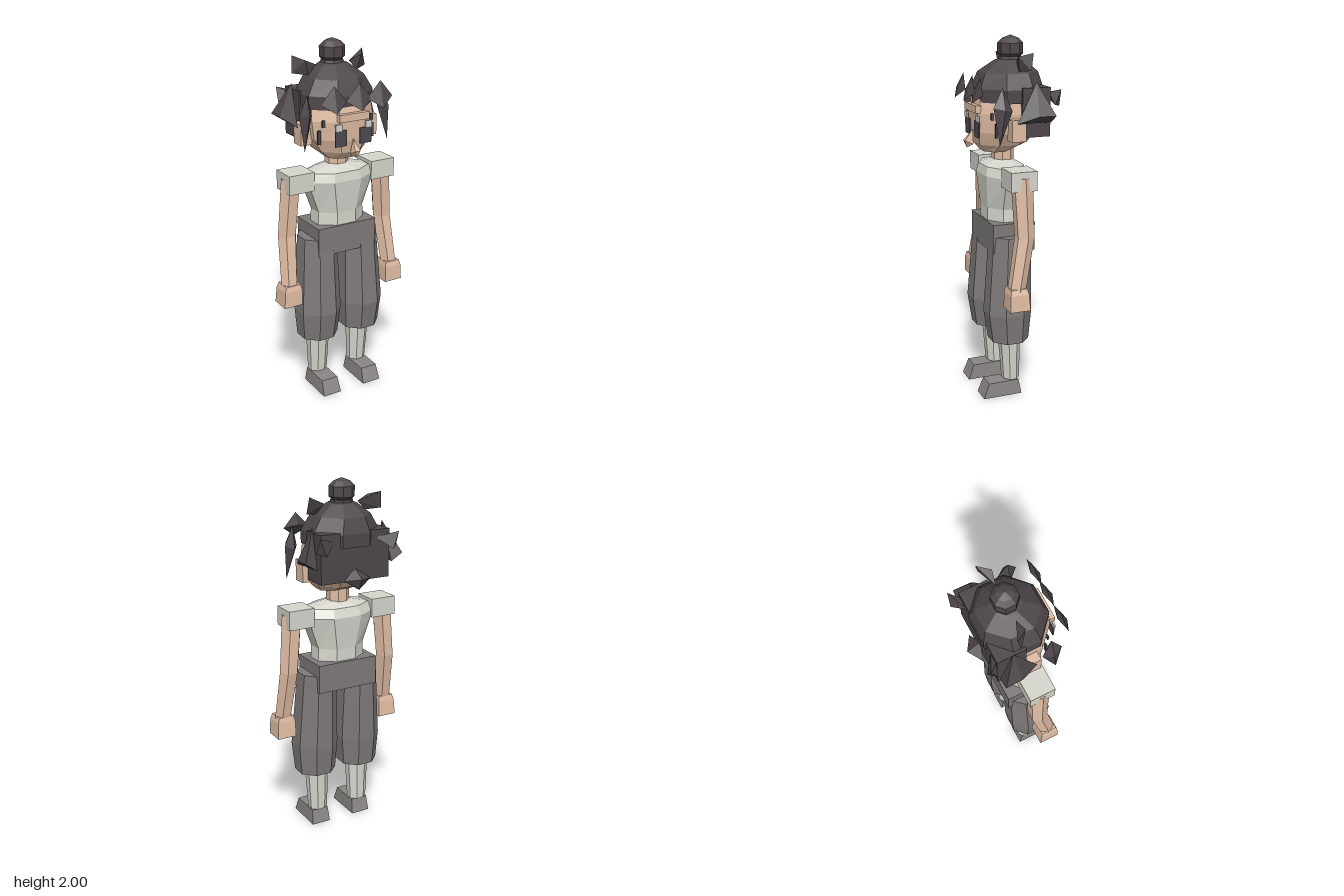
import * as THREE from 'three';
import { ConvexGeometry } from 'three/addons/geometries/ConvexGeometry.js';

const mat = (name, color) => {
  const m = new THREE.MeshStandardMaterial({ color });
  m.name = name;
  return m;
};

// Prism through rings [y, cx, cz, rx, rz], listed from the bottom up, flat side to the front
function loft(n, rings) {
  const corner = ([y, cx, cz, rx, rz], i) => {
    const a = ((i + 0.5) * 2 * Math.PI) / n, k = 1 / Math.cos(Math.PI / n);
    return [cx + Math.sin(a) * rx * k, y, cz + Math.cos(a) * rz * k];
  };
  const p = [], last = rings[rings.length - 1];
  for (let i = 0; i < n; i++) {
    for (let r = 0; r + 1 < rings.length; r++) {
      const a = corner(rings[r], i), b = corner(rings[r], i + 1);
      const c = corner(rings[r + 1], i + 1), d = corner(rings[r + 1], i);
      p.push(...a, ...b, ...c, ...a, ...c, ...d);
    }
    p.push(last[1], last[0], last[2], ...corner(last, i), ...corner(last, i + 1));
    p.push(rings[0][1], rings[0][0], rings[0][2], ...corner(rings[0], i + 1), ...corner(rings[0], i));
  }
  const g = new THREE.BufferGeometry();
  g.setAttribute('position', new THREE.Float32BufferAttribute(p, 3));
  g.computeVertexNormals();
  return g;
}

// Box from its limits
function block(x0, x1, y0, y1, z0, z1) {
  return new THREE.BoxGeometry(Math.abs(x1 - x0), y1 - y0, z1 - z0)
    .translate((x0 + x1) / 2, (y0 + y1) / 2, (z0 + z1) / 2);
}

// Pointed lock of hair spanning a few corner points, s mirrors it
const shard = (s, pts) => new ConvexGeometry(pts.map(([x, y, z]) => new THREE.Vector3(s * x, y, z)));

export function createModel() {
  const model = new THREE.Group();
  const skin = mat('skin', 0xe0bda4), hair = mat('hair', 0x4e474b), shirt = mat('shirt', 0xd6d6ce);
  const trousers = mat('trousers', 0x7e7a79), shoes = mat('shoes', 0x8a8685), eye = mat('eye', 0x4d4b53);
  const add = (name, geometry, material) => {
    const m = new THREE.Mesh(geometry, material);
    m.name = name;
    model.add(m);
  };

  // Body
  add('waist', block(-0.18, 0.18, 0.85, 1.01, -0.105, 0.135), trousers);
  add('torso', loft(8, [
    [1.0, 0, 0.02, 0.145, 0.105], [1.08, 0, 0.02, 0.14, 0.105], [1.26, 0, 0.02, 0.205, 0.12],
    [1.31, 0, 0.025, 0.175, 0.105], [1.34, 0, 0.02, 0.06, 0.05]]), shirt);
  add('neck', loft(8, [[1.32, 0, 0.015, 0.06, 0.055], [1.42, 0, 0.015, 0.06, 0.055]]), skin);

  // Head
  add('head', loft(8, [
    [1.39, 0, 0.065, 0.09, 0.07], [1.43, 0, 0.03, 0.135, 0.135], [1.5, 0, 0.012, 0.175, 0.168],
    [1.6, 0, 0.008, 0.188, 0.177], [1.7, 0, 0.0, 0.18, 0.16]]), skin);
  add('brow', block(-0.09, 0.09, 1.605, 1.645, 0.17, 0.2), skin);
  add('nose', shard(1, [[0, 1.51, 0.185], [-0.02, 1.43, 0.19], [0.02, 1.43, 0.19],
    [-0.016, 1.45, 0.235], [0.016, 1.45, 0.235], [0, 1.41, 0.22]]), skin);

  // Hair mass and topknot
  add('hairCap', loft(8, [
    [1.66, 0, -0.01, 0.196, 0.176], [1.73, 0, -0.01, 0.196, 0.178],
    [1.81, 0, -0.015, 0.15, 0.15], [1.87, 0, -0.025, 0.075, 0.075], [1.885, 0, -0.03, 0.03, 0.03]]), hair);
  add('backHair', block(-0.205, 0.205, 1.48, 1.74, -0.178, -0.02), hair);
  add('topknotTie', loft(8, [[1.86, 0, -0.025, 0.06, 0.06], [1.89, 0, -0.03, 0.055, 0.055]]), hair);
  add('topknot', loft(8, [
    [1.875, 0, -0.03, 0.035, 0.035], [1.905, 0, -0.03, 0.064, 0.064], [1.96, 0, -0.03, 0.064, 0.064],
    [1.985, 0, -0.03, 0.04, 0.04], [2.0, 0, -0.03, 0.003, 0.003]]), hair);

  // Fringe
  for (const x of [-0.13, 0.02, 0.148]) {
    add('fringeLock', shard(1, [[x + 0.01, 1.8, 0.195], [x - 0.078, 1.715, 0.207], [x + 0.078, 1.715, 0.207],
      [x, 1.665, 0.243], [x, 1.73, 0.185]]), hair);
  }
  add('napeLock', shard(1, [[0, 1.55, -0.17], [-0.08, 1.49, -0.195], [0.08, 1.49, -0.195],
    [0, 1.5, -0.245], [0, 1.44, -0.215]]), hair);

  for (const s of [-1, 1]) {
    // Loose locks
    add('crownLock', shard(s, [[0.1, 1.87, -0.025], [0.215, 1.92, -0.075], [0.225, 1.83, -0.06],
      [0.17, 1.9, -0.01], [0.15, 1.82, -0.02]]), hair);
    add('templeLock', shard(s, [[0.225, 1.75, 0.1], [0.2, 1.64, 0.105], [0.272, 1.64, 0.1],
      [0.24, 1.65, 0.155], [0.24, 1.63, 0.05], [0.255, 1.455, 0.125]]), hair);
    add('sideLock', shard(s, [[0.21, 1.77, -0.095], [0.292, 1.6, -0.175], [0.225, 1.56, -0.175],
      [0.24, 1.56, 0.022], [0.29, 1.6, -0.08]]), hair);
    add('backLock', shard(s, [[0.12, 1.7, -0.17], [0.235, 1.73, -0.225], [0.24, 1.65, -0.19],
      [0.2, 1.64, -0.23], [0.19, 1.71, -0.175]]), hair);

    // Face
    add('ear', block(s * 0.17, s * 0.235, 1.465, 1.58, -0.03, 0.05), skin);
    add('eyePlate', block(s * 0.04, s * 0.11, 1.475, 1.56, 0.183, 0.191), eye);
    add('eyeWhite', block(s * 0.072, s * 0.11, 1.56, 1.595, 0.186, 0.195), shirt);
    add('eyeCorner', block(s * 0.138, s * 0.155, 1.575, 1.61, 0.125, 0.134), eye);
    add('cheekMark', block(s * 0.155, s * 0.172, 1.48, 1.555, 0.108, 0.117), eye);

    // Arms
    add('shoulderPad', block(s * 0.18, s * 0.33, 1.22, 1.325, -0.055, 0.09), shirt);
    add('arm', loft(6, [[0.68, s * 0.327, 0.06, 0.042, 0.043], [0.97, s * 0.308, 0.008, 0.048, 0.046],
      [1.29, s * 0.283, 0.015, 0.05, 0.052]]), skin);
    add('hand', loft(4, [[0.58, s * 0.33, 0.057, 0.055, 0.057], [0.67, s * 0.328, 0.06, 0.052, 0.052],
      [0.7, s * 0.326, 0.06, 0.044, 0.045]]), skin);

    // Legs
    add('trouserLeg', loft(8, [[0.335, s * 0.138, 0.035, 0.108, 0.105], [0.5, s * 0.138, 0.04, 0.122, 0.124],
      [0.94, s * 0.13, 0.022, 0.1, 0.108]]), trousers);
    add('sock', loft(8, [[0.09, s * 0.132, 0.02, 0.052, 0.046], [0.4, s * 0.134, 0.03, 0.066, 0.06]]), shirt);
    add('shoe', loft(4, [[0, s * 0.133, 0.085, 0.056, 0.113], [0.085, s * 0.133, 0.077, 0.05, 0.088]]), shoes);
  }
  return model;
}
